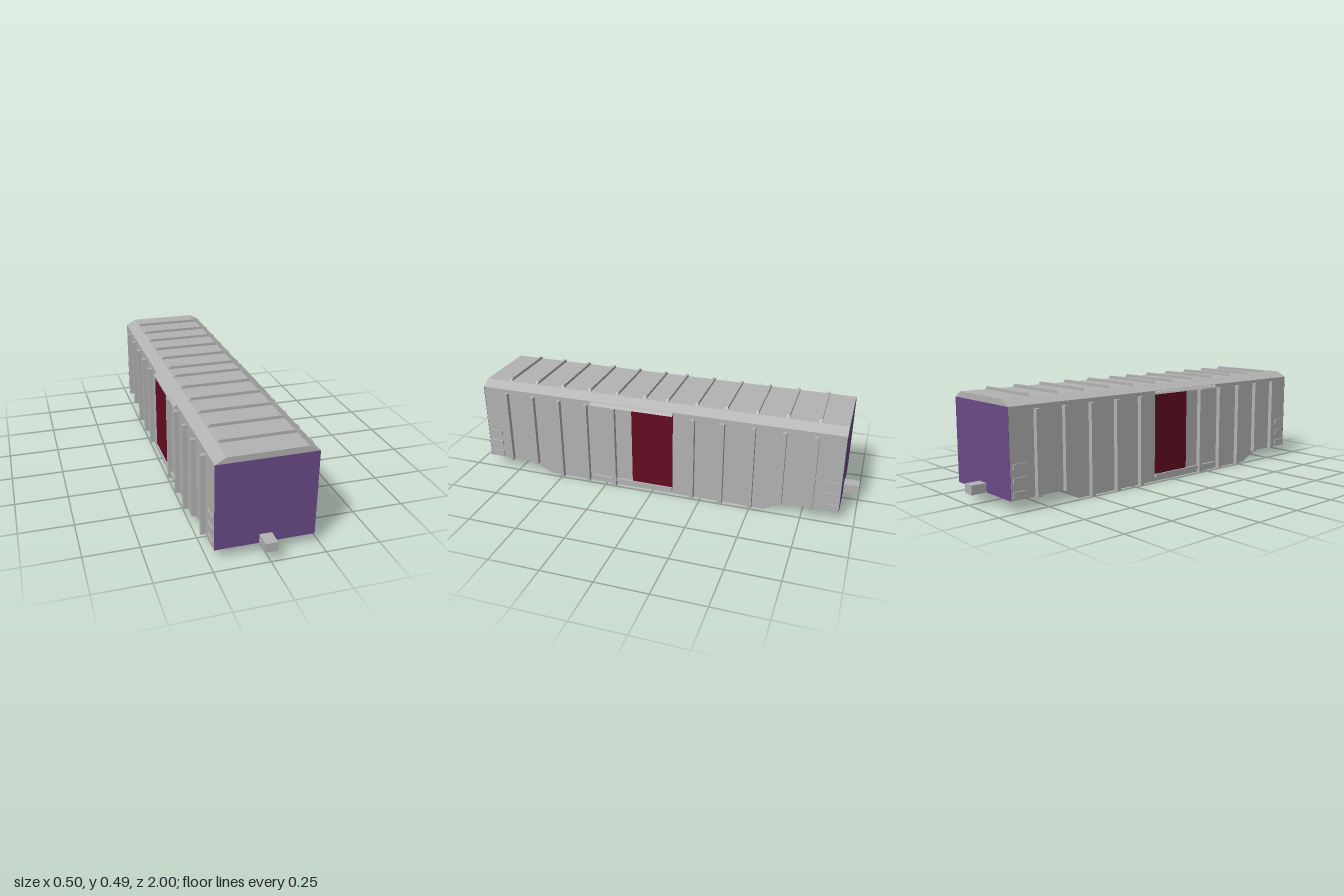
import * as THREE from 'three';

const mat = (name, color) => {
  const m = new THREE.MeshStandardMaterial({ color });
  m.name = name;
  return m;
};

export function createModel() {
  const grey = mat('steel grey', 0xb3b3b3);
  const purple = mat('end purple', 0x6a4b87);
  const red = mat('door red', 0x630c22);
  const model = new THREE.Group();
  model.name = 'boxcar';

  const add = (name, geo, material = grey) => {
    const mesh = new THREE.Mesh(geo, material);
    mesh.name = name;
    model.add(mesh);
    return mesh;
  };
  // Box given by its limits on each axis
  const box = (name, x0, x1, y0, y1, z0, z1, material) => {
    const geo = new THREE.BoxGeometry(Math.abs(x1 - x0), y1 - y0, Math.abs(z1 - z0));
    geo.translate((x0 + x1) / 2, (y0 + y1) / 2, (z0 + z1) / 2);
    return add(name, geo, material);
  };
  // Prism of an x-y outline between two z positions
  const prism = (points, z0, z1) => {
    const shape = new THREE.Shape(points.map(([x, y]) => new THREE.Vector2(x, y)));
    const geo = new THREE.ExtrudeGeometry(shape, { depth: z1 - z0, bevelEnabled: false });
    return geo.translate(0, 0, z0);
  };

  // Body with the dropped centre sill, outline drawn lengthwise
  const body = prism([
    [-0.925, 0.05], [-0.67, 0.05], [-0.57, 0], [0.57, 0],
    [0.67, 0.05], [0.925, 0.05], [0.925, 0.45], [-0.925, 0.45],
  ], -0.225, 0.225);
  add('body', body.rotateY(-Math.PI / 2));

  // Roof with sloped sides
  add('roof', prism([[-0.225, 0.45], [0.225, 0.45], [0.175, 0.478], [-0.175, 0.478]], -0.925, 0.925));

  // Roof ribs with tapered ends
  const ribZ = [0.205, 0.352, 0.5, 0.645, 0.793];
  for (const z of [0.058, ...ribZ]) {
    for (const s of [-1, 1]) {
      add('roofRib', prism([[-0.175, 0.477], [0.175, 0.477], [0.165, 0.492], [-0.165, 0.492]],
        s * z - 0.007, s * z + 0.007));
    }
  }

  // Painted ends and couplers
  for (const s of [-1, 1]) {
    box('endPanel', -0.225, 0.225, 0.05, 0.45, s * 0.924, s * 0.926, purple);
    box('coupler', -0.028, 0.028, 0.05, 0.093, s * 0.92, s);
  }

  for (const side of [-1, 1]) {
    // Vertical side ribs and corner rungs
    for (const end of [-1, 1]) {
      for (const z of ribZ) {
        const bottom = z > 0.6 ? 0.05 : 0;
        box('sideRib', side * 0.224, side * 0.247, bottom, 0.432, end * z - 0.01, end * z + 0.01);
      }
      for (const y of [0.06, 0.12, 0.18]) {
        box('rung', side * 0.224, side * 0.231, y, y + 0.027, end * 0.845, end * 0.912);
      }
    }

    // Sliding door
    box('door', side * 0.224, side * 0.232, 0.038, 0.433, -0.103, 0.108, red);

    // Door rails, running forward of the door
    const topRail = [[0.224, 0.434], [0.24, 0.434], [0.235, 0.443], [0.224, 0.449]];
    add('topRail', prism(topRail.map(([x, y]) => [side * x, y]), -0.103, 0.326));
    box('bottomRail', side * 0.224, side * 0.238, 0.02, 0.037, -0.103, 0.326);
    box('railStop', side * 0.224, side * 0.248, 0.008, 0.028, 0.195, 0.217);
  }
  return model;
}
